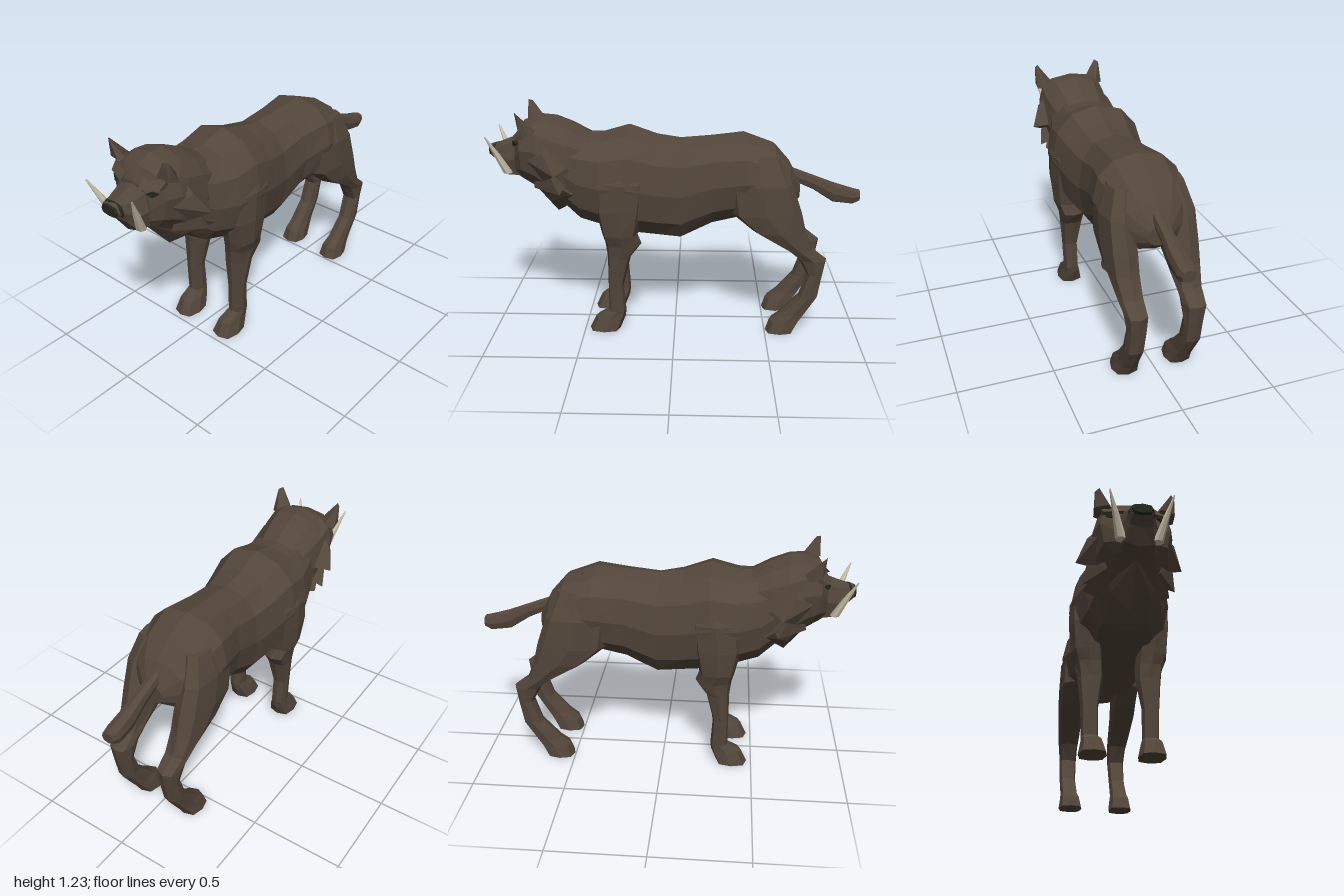
import * as THREE from 'three';
import { ConvexGeometry } from 'three/addons/geometries/ConvexGeometry.js';

const material = (name, color) => {
  const m = new THREE.MeshStandardMaterial({ color, flatShading: true });
  m.name = name;
  return m;
};

// Joins closed rings of [x, y, z] points with flat faces and end caps, facing outwards
function loft(rings) {
  const n = rings[0].length, tris = [];
  for (let i = 0; i < rings.length - 1; i++) {
    for (let j = 0; j < n; j++) {
      const k = (j + 1) % n, a = rings[i], b = rings[i + 1];
      tris.push([a[j], a[k], b[k]], [a[j], b[k], b[j]]);
    }
  }
  const cap = (ring, flip) => {
    for (let j = 1; j < n - 1; j++) tris.push(flip ? [ring[0], ring[j + 1], ring[j]] : [ring[0], ring[j], ring[j + 1]]);
  };
  cap(rings[0], true);
  cap(rings[rings.length - 1], false);
  let volume = 0;
  for (const [a, b, c] of tris) {
    volume += a[0] * (b[1] * c[2] - b[2] * c[1]) + a[1] * (b[2] * c[0] - b[0] * c[2]) + a[2] * (b[0] * c[1] - b[1] * c[0]);
  }
  if (volume < 0) tris.forEach(t => t.reverse());
  const g = new THREE.BufferGeometry();
  g.setAttribute('position', new THREE.Float32BufferAttribute(tris.flat(2), 3));
  g.computeVertexNormals();
  return g;
}

const bend = (v, e) => Math.sign(v) * Math.pow(Math.abs(v) < 1e-6 ? 0 : Math.abs(v), e);

// Upright sections: [z, top, bottom, half width, share of height at the widest point]
function along(sections, sides, e) {
  return loft(sections.map(([z, top, bottom, hw, share = 0.5]) => {
    const mid = bottom + (top - bottom) * share;
    return Array.from({ length: sides }, (_, i) => {
      const a = (i / sides) * Math.PI * 2, c = bend(Math.cos(a), e);
      return [hw * bend(Math.sin(a), e), mid + c * (c > 0 ? top - mid : mid - bottom), z];
    });
  }));
}

// Level sections: [y, z front, z back, x inner, x outer], mirrored by side
function upward(sections, side, sides, e) {
  return loft(sections.map(([y, zf, zb, xi, xo]) =>
    Array.from({ length: sides }, (_, i) => {
      const a = (i / sides) * Math.PI * 2;
      return [side * ((xi + xo) / 2 + ((xo - xi) / 2) * bend(Math.cos(a), e)), y, (zf + zb) / 2 + ((zf - zb) / 2) * bend(Math.sin(a), e)];
    })));
}

const hull = (points, side = 1) =>
  new ConvexGeometry(points.map(([x, y, z]) => new THREE.Vector3(x * side, y, z)));

export function createModel() {
  const model = new THREE.Group();
  model.name = 'tuskedBeast';
  const fur = material('brown fur', 0x53463b);
  const ivory = material('ivory', 0xc9c0aa);
  const dark = material('dark green', 0x22281d);
  const add = (name, geometry, mat = fur) => {
    const mesh = new THREE.Mesh(geometry, mat);
    mesh.name = name;
    model.add(mesh);
  };

  // Trunk from rump to neck
  add('body', along([
    [-0.67, 0.84, 0.74, 0.06], [-0.61, 0.95, 0.69, 0.15], [-0.53, 1.04, 0.67, 0.21],
    [-0.37, 1.1, 0.65, 0.235], [-0.2, 1.085, 0.6, 0.2], [-0.03, 1.07, 0.51, 0.2],
    [0.1, 1.09, 0.53, 0.23], [0.25, 1.14, 0.55, 0.26], [0.39, 1.1, 0.59, 0.25],
    [0.51, 1.1, 0.62, 0.21], [0.62, 1.12, 0.72, 0.17],
  ], 12, 0.85));

  // Head, muzzle and nose
  add('head', along([
    [0.46, 1.1, 0.75, 0.17], [0.56, 1.155, 0.72, 0.19], [0.65, 1.19, 0.73, 0.2],
    [0.73, 1.19, 0.79, 0.2, 0.6], [0.81, 1.16, 0.84, 0.175, 0.6], [0.85, 1.09, 0.86, 0.11],
  ], 12, 0.85));
  add('muzzle', along([
    [0.78, 1.1, 0.85, 0.12], [0.9, 1.06, 0.855, 0.09], [0.95, 1.04, 0.93, 0.068], [0.99, 1.03, 0.97, 0.055],
  ], 8, 0.65));
  add('nose', along([[0.965, 1.037, 0.955, 0.066], [1.0, 1.025, 0.975, 0.048]], 8, 0.65), dark);

  // Shaggy throat
  add('throatRuff', hull([
    [0.22, 0.81, 0.54], [-0.22, 0.81, 0.54], [0.15, 0.9, 0.73], [-0.15, 0.9, 0.73],
    [0.1, 0.74, 0.66], [-0.1, 0.74, 0.66], [0, 0.65, 0.65], [0, 0.84, 0.81], [0, 0.76, 0.45],
  ]));

  // Tail with a drooping tuft
  add('tail', along([
    [-0.52, 0.96, 0.85, 0.04], [-0.6, 0.92, 0.85, 0.03], [-0.75, 0.865, 0.785, 0.033],
    [-0.86, 0.825, 0.715, 0.042], [-0.96, 0.795, 0.705, 0.045], [-1, 0.785, 0.725, 0.035],
  ], 8, 0.75));

  for (const side of [1, -1]) {
    const label = side > 0 ? 'left' : 'right';

    add(label + 'FrontLeg', upward([
      [1.0, 0.36, 0.2, 0.1, 0.2], [0.87, 0.41, 0.15, 0.1, 0.262], [0.72, 0.42, 0.17, 0.1, 0.262],
      [0.58, 0.39, 0.2, 0.09, 0.25], [0.52, 0.375, 0.18, 0.085, 0.228], [0.44, 0.365, 0.24, 0.085, 0.215],
      [0.28, 0.365, 0.28, 0.11, 0.2], [0.12, 0.365, 0.27, 0.11, 0.195], [0.08, 0.44, 0.275, 0.095, 0.2],
      [0.005, 0.475, 0.305, 0.075, 0.215],
    ], side, 8, 0.7));

    add(label + 'HindLeg', upward([
      [1.0, -0.36, -0.55, 0.08, 0.19], [0.86, -0.28, -0.62, 0.09, 0.235], [0.7, -0.3, -0.675, 0.08, 0.24],
      [0.6, -0.42, -0.7, 0.085, 0.235], [0.5, -0.6, -0.74, 0.09, 0.22], [0.44, -0.67, -0.82, 0.095, 0.21],
      [0.35, -0.72, -0.805, 0.1, 0.2], [0.22, -0.675, -0.785, 0.105, 0.2], [0.11, -0.575, -0.72, 0.1, 0.2],
      [0.07, -0.525, -0.695, 0.09, 0.205], [0.005, -0.505, -0.66, 0.08, 0.215],
    ], side, 8, 0.7));

    add(label + 'Tusk', upward([
      [0.89, 0.92, 0.87, 0.06, 0.115], [1.0, 0.96, 0.925, 0.104, 0.137], [1.1, 0.992, 0.985, 0.15, 0.157],
    ], side, 7, 1), ivory);

    add(label + 'Ear', hull([
      [0.1, 1.13, 0.78], [0.2, 1.11, 0.75], [0.15, 1.12, 0.71], [0.18, 1.235, 0.82],
      [0.2, 1.225, 0.8], [0.13, 1.14, 0.82], [0.2, 1.13, 0.8],
    ], side));

    // Pointed cheek fur in two tufts
    add(label + 'CheekRuff', hull([
      [0.16, 1.09, 0.69], [0.22, 1.03, 0.68], [0.14, 0.85, 0.72], [0.12, 0.96, 0.52],
      [0.27, 0.92, 0.62], [0.18, 0.98, 0.77],
    ], side));
    add(label + 'LowerCheekRuff', hull([
      [0.16, 0.98, 0.72], [0.13, 0.82, 0.75], [0.1, 0.88, 0.55], [0.235, 0.81, 0.6], [0.21, 0.93, 0.66],
    ], side));

    // Heavy brow over a small eye
    add(label + 'Brow', hull([
      [0.06, 1.075, 0.87], [0.05, 1.12, 0.83], [0.16, 1.085, 0.835], [0.17, 1.13, 0.79], [0.1, 1.06, 0.8], [0.16, 1.08, 0.78],
    ], side));
    add(label + 'Eye', hull([
      [0.095, 1.06, 0.862], [0.125, 1.075, 0.85], [0.155, 1.065, 0.83], [0.125, 1.045, 0.85], [0.1, 1.06, 0.79],
    ], side), dark);
  }
  return model;
}
